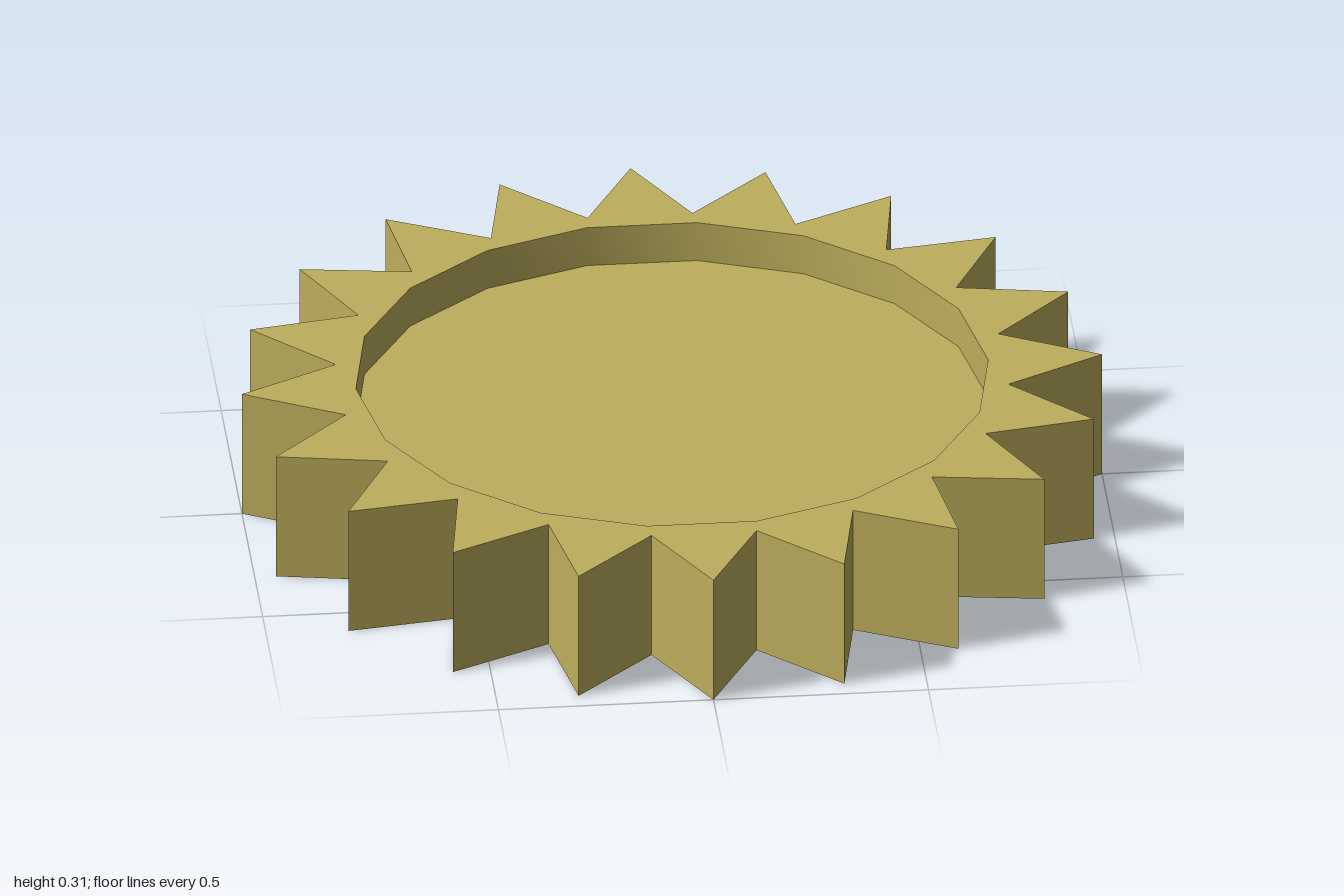
import * as THREE from 'three';
import { toCreasedNormals } from 'three/addons/utils/BufferGeometryUtils.js';

const TEETH = 20, TIP = 1, ROOT = 0.78;
const BORE = 0.735, BORE_SIDES = 18;
const HEIGHT = 0.315, RECESS = 0.1;

// Closed outline of n points, with the radius given per index
const outline = (n, radius) => Array.from({ length: n }, (_, i) => {
  const a = (i / n) * Math.PI * 2;
  return new THREE.Vector2(Math.cos(a) * radius(i), Math.sin(a) * radius(i));
});

export function createModel() {
  const group = new THREE.Group();
  group.name = 'toothedWheel';
  const brass = new THREE.MeshStandardMaterial({ color: 0xbdae5c });
  brass.name = 'brass';

  // Toothed rim: pointed teeth outside, round bore inside with smooth walls
  const shape = new THREE.Shape(outline(TEETH * 2, i => (i % 2 ? ROOT : TIP)));
  shape.holes.push(new THREE.Path(outline(BORE_SIDES, () => BORE)));
  const rimGeometry = new THREE.ExtrudeGeometry(shape, { depth: HEIGHT, bevelEnabled: false });
  rimGeometry.rotateX(-Math.PI / 2);
  const rim = new THREE.Mesh(toCreasedNormals(rimGeometry, Math.PI / 6), brass);
  rim.name = 'toothedRim';
  group.add(rim);

  // Thinner web closing the bore, recessed on both faces
  const web = new THREE.Mesh(
    new THREE.CylinderGeometry(BORE, BORE, HEIGHT - 2 * RECESS, BORE_SIDES, 1, false, Math.PI / 2),
    brass
  );
  web.name = 'recessedWeb';
  web.position.y = HEIGHT / 2;
  group.add(web);

  return group;
}
